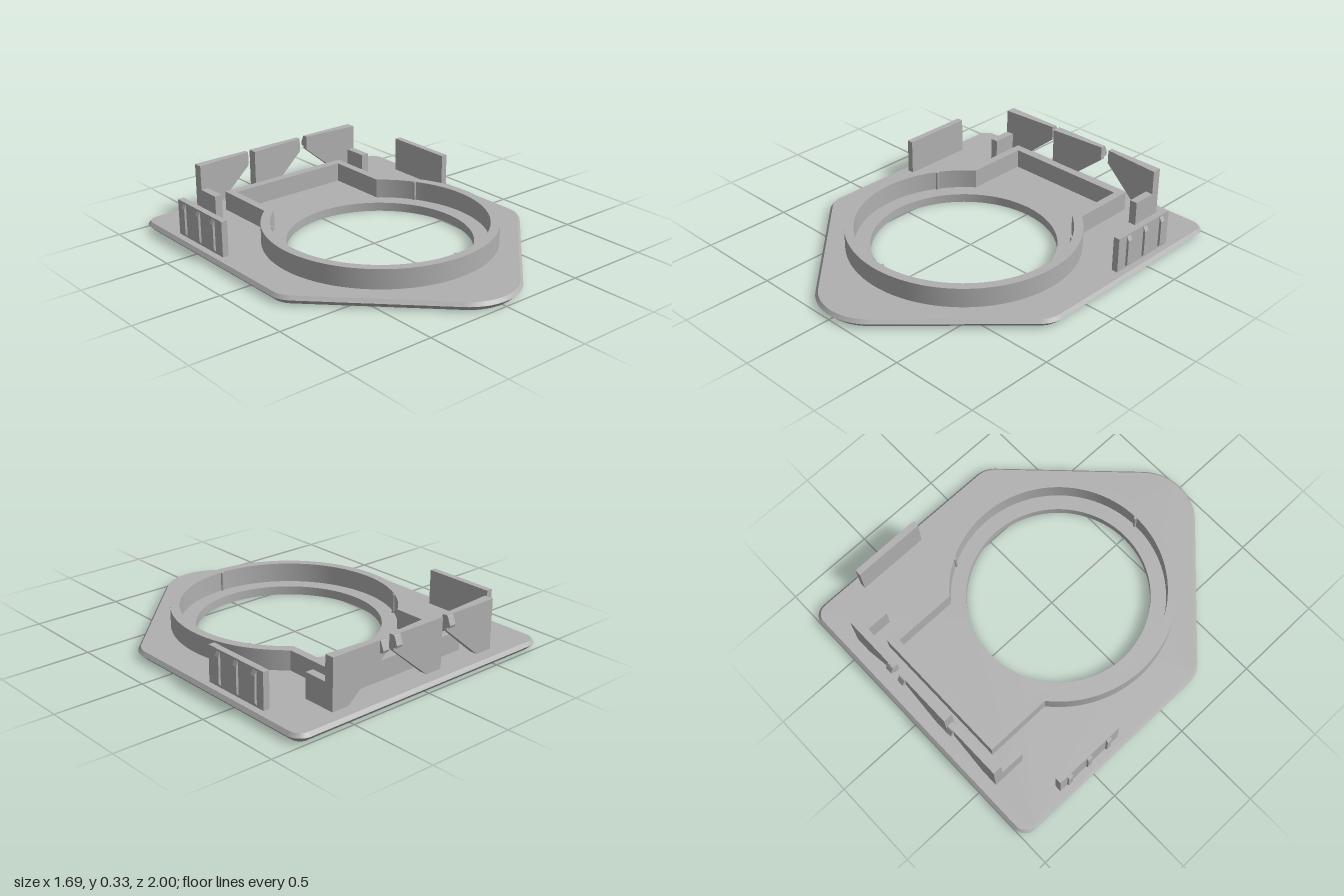
import * as THREE from 'three';
import { toCreasedNormals } from 'three/addons/utils/BufferGeometryUtils.js';

const grey = new THREE.MeshStandardMaterial({ color: 0xb0b0b0 });
grey.name = 'plain grey';

const V2 = (x, y) => new THREE.Vector2(x, y);

// Points along an arc in the ground plane (x, z)
function arc(cx, cz, r, a0, a1, n) {
  return Array.from({ length: n + 1 }, (_, i) => {
    const a = a0 + ((a1 - a0) * i) / n;
    return V2(cx + r * Math.cos(a), cz + r * Math.sin(a));
  });
}

// Wall through a list of [points, y] loops; faces outward when they rise, inward when they fall
function loft(loops) {
  const pos = [], idx = [], n = loops[0][0].length;
  for (const [pts, y] of loops) for (const p of pts) pos.push(p.x, y, p.y);
  for (let k = 0; k < loops.length - 1; k++) {
    for (let i = 0; i < n; i++) {
      const a = k * n + i, b = k * n + ((i + 1) % n);
      idx.push(a, a + n, b, b, a + n, b + n);
    }
  }
  const g = new THREE.BufferGeometry();
  g.setAttribute('position', new THREE.Float32BufferAttribute(pos, 3));
  g.setIndex(idx);
  return toCreasedNormals(g, 0.5);
}

// Flat sheet at height y with holes, facing up or down
function sheet(pts, holes, y, up) {
  const shape = new THREE.Shape(pts);
  shape.holes = holes.map((h) => new THREE.Path(h));
  const g = new THREE.ShapeGeometry(shape).rotateX(Math.PI / 2).translate(0, y, 0);
  if (up) {
    g.index.array.reverse();
    g.computeVertexNormals();
  }
  return g;
}

// Pointed plate outline, shrunk by an inset
function plateOutline(inset) {
  const q = Math.PI / 4;
  return [
    [0, 0.71, 0.29, q, 3 * q, 20],
    [-0.695, 0.213, 0.15, 3 * q, 4 * q, 8],
    [-0.765, -0.92, 0.08, 4 * q, 6 * q, 10],
    [0.765, -0.92, 0.08, 6 * q, 8 * q, 10],
    [0.695, 0.213, 0.15, 8 * q, 9 * q, 8],
  ].flatMap(([x, z, r, a, b, n]) => arc(x, z, r - inset, a, b, n));
}

// Long rounded slot on the underside
function slotOutline(r) {
  const h = Math.PI / 2;
  return [...arc(0.4, -0.71, r, -h, h, 14), ...arc(-0.4, -0.71, r, h, 3 * h, 14)];
}

// Ring outline that opens into a rectangular bay at the back
function keyhole(r, w, back) {
  const a = Math.acos(w / r);
  return [...arc(0, 0.05, r, -a, Math.PI + a, 96), V2(-w, back), V2(w, back)];
}

export function createModel() {
  const model = new THREE.Group();
  const add = (parent, name, geometry) => {
    const m = new THREE.Mesh(geometry, grey);
    m.name = name;
    parent.add(m);
    return m;
  };
  const group = (name) => {
    const g = new THREE.Group();
    g.name = name;
    model.add(g);
    return g;
  };
  const box = (x0, x1, y0, y1, z0, z1) =>
    new THREE.BoxGeometry(x1 - x0, y1 - y0, z1 - z0)
      .translate((x0 + x1) / 2, (y0 + y1) / 2, (z0 + z1) / 2);

  // Base plate with bevelled rim, round opening and underside recess
  const top = 0.05;
  const hole = arc(0, 0.05, 0.505, 0, Math.PI * 2, 96).slice(0, -1);
  const base = group('basePlate');
  add(base, 'bevelledRim', loft([
    [plateOutline(0.03), 0], [plateOutline(0), 0.03], [plateOutline(0.015), top],
  ]));
  add(base, 'plateTop', sheet(plateOutline(0.015), [hole], top, true));
  add(base, 'plateUnderside', sheet(plateOutline(0.03), [hole, slotOutline(0.1)], 0, false));
  add(base, 'openingWall', loft([[hole, top], [hole, 0]]));
  add(base, 'recessWall', loft([[slotOutline(0.075), 0.025], [slotOutline(0.1), 0]]));
  add(base, 'recessFloor', sheet(slotOutline(0.075), [], 0.025, false));

  // Raised keyhole wall
  const wall = new THREE.Shape(keyhole(0.64, 0.41, -0.82));
  wall.holes.push(new THREE.Path(keyhole(0.59, 0.365, -0.772)));
  const wallGeo = new THREE.ExtrudeGeometry(wall, { depth: 0.115, bevelEnabled: false })
    .rotateX(Math.PI / 2).translate(0, 0.16, 0);
  add(model, 'keyholeWall', toCreasedNormals(wallGeo, 0.5));

  // Three small upright ribs inside the wall
  for (const a of [-Math.PI / 6, Math.PI / 2, Math.PI * 7 / 6]) {
    const rib = add(model, 'innerRib', new THREE.CylinderGeometry(0.009, 0.009, 0.11, 12));
    rib.position.set(0.587 * Math.cos(a), 0.104, 0.05 + 0.587 * Math.sin(a));
  }

  // Back clips: a tapering panel, cut away below its free end, with a catch behind
  const profile = [[0, 0.045], [0.095, 0.045], [0.34, 0.25], [0.34, 0.33], [0, 0.33]];
  const catchProfile = [[0.91, 0.33], [0.92, 0.325], [0.938, 0.28], [0.932, 0.265], [0.91, 0.265]];
  for (const [x0, dir, leg] of [[-0.54, 1, true], [-0.17, 1, false], [0.56, -1, true]]) {
    const clip = group('backClip');
    const panel = new THREE.ExtrudeGeometry(
      new THREE.Shape(profile.map(([u, y]) => V2(x0 + dir * u, y))),
      { depth: 0.053, bevelEnabled: false }
    ).translate(0, 0, -0.915);
    const p = panel.attributes.position;
    for (let i = 0; i < p.count; i++) {
      if (p.getZ(i) > -0.9) p.setZ(i, -0.862 - 0.07 * Math.abs(p.getX(i) - x0));
    }
    panel.computeVertexNormals();
    add(clip, 'clipPanel', panel);

    const hook = new THREE.ExtrudeGeometry(
      new THREE.Shape(catchProfile.map(([z, y]) => V2(z, y))),
      { depth: 0.04, bevelEnabled: false }
    ).rotateY(Math.PI / 2).translate(x0 + dir * 0.32 - 0.02, 0, 0);
    add(clip, 'clipCatch', hook);

    if (leg) {
      const x1 = x0 + dir * 0.045;
      add(clip, 'clipLeg', box(Math.min(x0, x1), Math.max(x0, x1), 0.045, 0.19, -0.89, -0.725));
    }
  }

  // Side guides with three bevelled ribs on the outer face
  for (const s of [1, -1]) {
    const guide = group(s > 0 ? 'leftGuide' : 'rightGuide');
    const x = [s * 0.757, s * 0.793].sort((a, b) => a - b);
    add(guide, 'guidePanel', box(x[0], x[1], 0.045, 0.25, -0.695, -0.28));
    const ribShape = new THREE.Shape(
      [[0.785, 0.06], [0.793, 0.06], [0.806, 0.075], [0.806, 0.215], [0.793, 0.24], [0.785, 0.24]]
        .map(([px, py]) => V2(s * px, py))
    );
    for (const z of [-0.358, -0.495, -0.632]) {
      add(guide, 'guideRib', new THREE.ExtrudeGeometry(ribShape, { depth: 0.028, bevelEnabled: false })
        .translate(0, 0, z - 0.014));
    }
  }

  return model;
}
